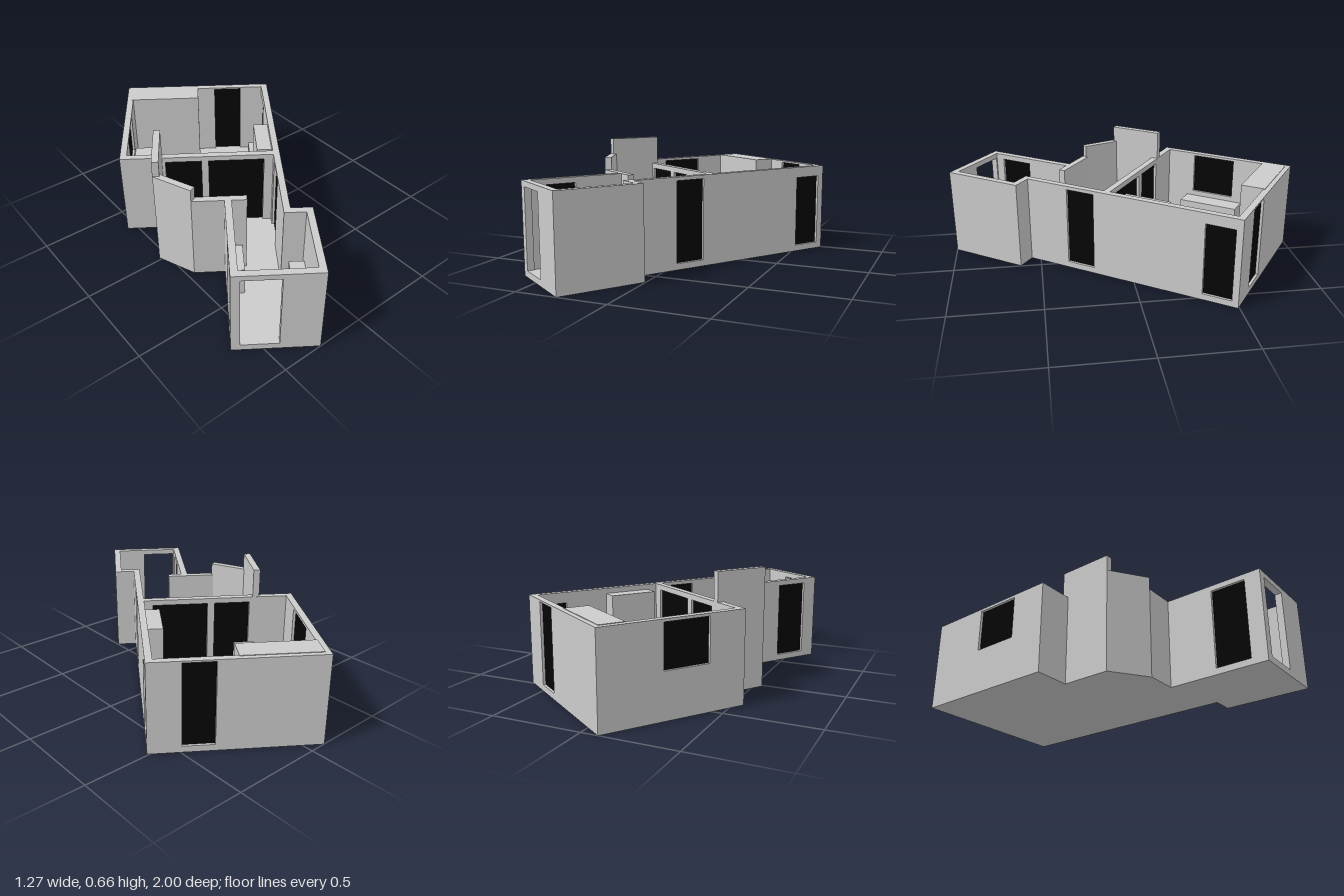
import * as THREE from 'three';

const grey = new THREE.MeshStandardMaterial({ color: 0xcccccc, flatShading: true });
const black = new THREE.MeshStandardMaterial({ color: 0x050505 });
const T = 0.037;      // wall thickness
const H = 0.5;        // wall height
const FLOOR = 0.035;  // slab thickness

// Plan corners, in the building's own axes
const A = [-0.65, -0.767], B = [0.238, -0.767], C = [0.238, 0.508], D = [0.352, 0.508];
const E = [0.352, 0.974], F = [-0.09, 0.974], G = [-0.09, 0.43], HH = [-0.26, 0.43];
const I = [-0.455, 0.3], J = [-0.455, 0.036], K = [-0.65, 0.036];

// Wall from p to q, thickened inward. Openings: { s: [from, to], y: [low, high], open }
function wall(name, p, q, height = H, openings = []) {
  const group = new THREE.Group();
  group.name = name;
  const len = Math.hypot(q[0] - p[0], q[1] - p[1]);
  const rect = (Type, x0, x1, y0, y1) => new Type([
    new THREE.Vector2(x0, y0), new THREE.Vector2(x1, y0),
    new THREE.Vector2(x1, y1), new THREE.Vector2(x0, y1)]);
  const shape = rect(THREE.Shape, 0, len, 0, height);
  for (const { s, y, open } of openings) {
    shape.holes.push(rect(THREE.Path, s[0], s[1], y[0], y[1]));
    if (open) continue;
    const panel = new THREE.Mesh(new THREE.BoxGeometry(s[1] - s[0], y[1] - y[0], 0.008), black);
    panel.position.set((s[0] + s[1]) / 2, (y[0] + y[1]) / 2, T / 2);
    panel.name = name + 'Panel';
    group.add(panel);
  }
  const body = new THREE.Mesh(new THREE.ExtrudeGeometry(shape, { depth: T, bevelEnabled: false }), grey);
  body.name = name + 'Body';
  group.add(body);
  group.position.set(p[0], 0, p[1]);
  group.rotation.y = -Math.atan2(q[1] - p[1], q[0] - p[0]);
  return group;
}

// Box standing on the floor, given its plan extents and top height
function block(name, u0, u1, v0, v1, top) {
  const h = top - FLOOR;
  const mesh = new THREE.Mesh(new THREE.BoxGeometry(u1 - u0, h, v1 - v0), grey);
  mesh.position.set((u0 + u1) / 2, FLOOR + h / 2, (v0 + v1) / 2);
  mesh.name = name;
  return mesh;
}

export function createModel() {
  const model = new THREE.Group();
  model.name = 'apartment';
  const plan = new THREE.Group();
  plan.name = 'floorPlan';
  plan.rotation.y = -THREE.MathUtils.degToRad(35);
  model.add(plan);

  // Floor slab
  const outline = new THREE.Shape([A, B, C, D, E, F, G, HH, I, J, K].map(([u, v]) => new THREE.Vector2(u, -v)));
  const floor = new THREE.Mesh(new THREE.ExtrudeGeometry(outline, { depth: FLOOR, bevelEnabled: false }), grey);
  floor.rotation.x = -Math.PI / 2;
  floor.name = 'floor';
  plan.add(floor);

  // Walls, in order round the plan
  plan.add(
    wall('backWall', A, B, H, [{ s: [0.55, 0.716], y: [FLOOR, 0.49] }]),
    wall('longWall', B, C, H, [
      { s: [0.035, 0.201], y: [FLOOR, 0.44] },
      { s: [0.852, 1.02], y: [FLOOR, 0.48] }]),
    wall('notchWall', [C[0] - T, C[1]], D),
    wall('endRoomSideWall', D, E),
    wall('endRoomFrontWall', E, F, H, [{ s: [0.202, 0.397], y: [FLOOR, 0.47], open: true }]),
    wall('endRoomInnerWall', F, G, H, [{ s: [0.087, 0.279], y: [FLOOR, 0.47] }]),
    wall('stubWall', [0.027, G[1]], HH),
    wall('bayAngledWall', HH, I, 0.57),
    wall('bayTallWall', I, [J[0], 0], 0.66),
    // Partition, running on to the outer corner
    wall('partitionWall', [0.21, J[1]], K, H, [
      { s: [0.06, 0.37], y: [FLOOR, 0.47] },
      { s: [0.41, 0.61], y: [FLOOR, 0.47] }]),
    wall('windowWall', K, A, H, [{ s: [0.206, 0.461], y: [0.25, 0.485] }]),
  );

  // Built-in furniture
  plan.add(
    block('closet', -0.62, -0.207, -0.74, -0.605, 0.503),
    block('wardrobe', 0.118, 0.203, -0.325, -0.057, 0.47),
    block('counter', -0.615, -0.503, -0.487, -0.13, 0.22),
    block('cabinet', 0.105, 0.2, -0.535, -0.392, 0.2),
    block('partitionCabinet', -0.43, -0.317, -0.08, 0, 0.22),
    block('bayCabinet', -0.42, -0.323, 0.04, 0.2, 0.2),
    block('endRoomShelf', -0.058, 0.003, 0.44, 0.63, 0.2),
    block('endRoomCabinet', 0.233, 0.317, 0.58, 0.773, 0.2),
  );
  return model;
}
